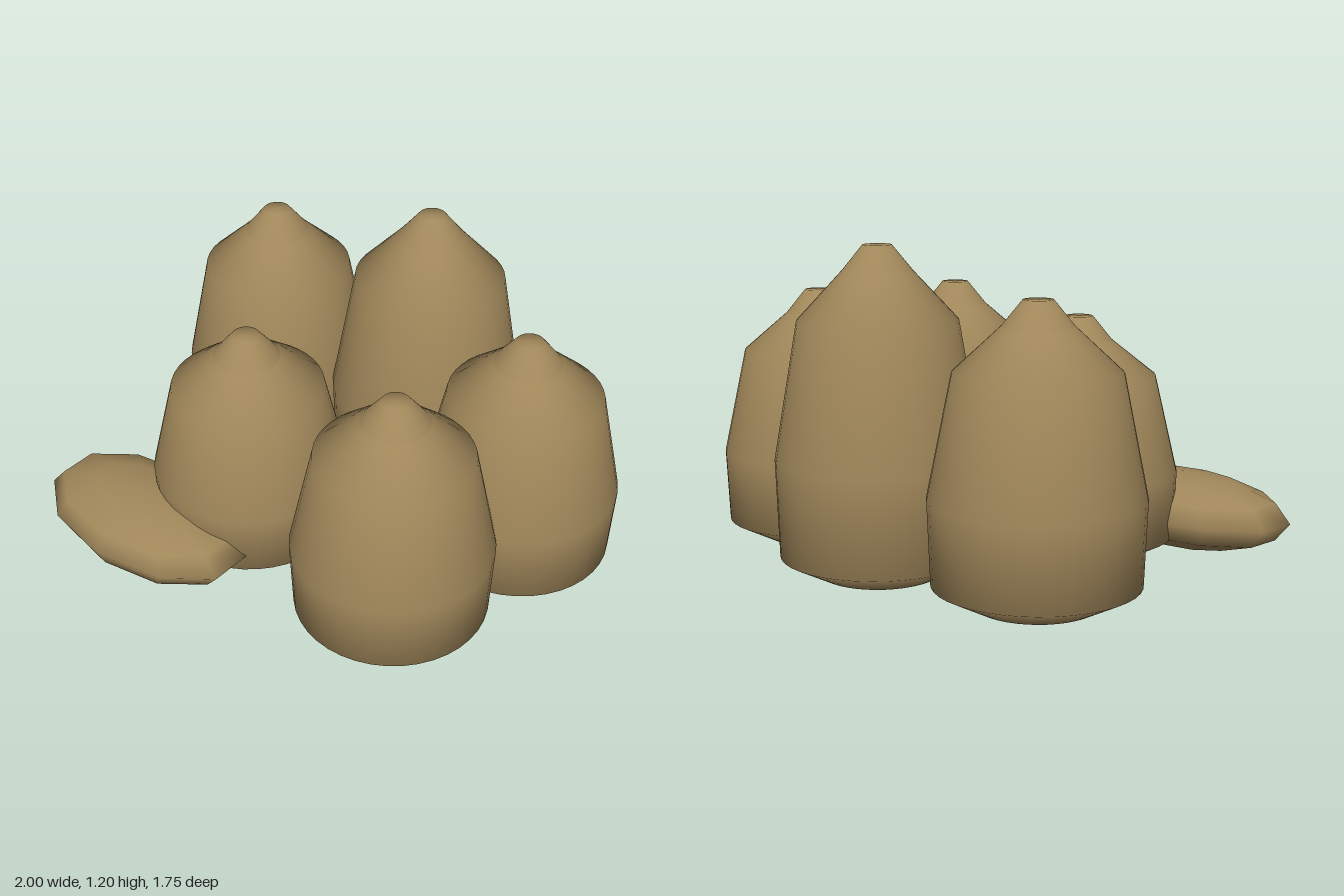
import * as THREE from 'three';

const burlap = new THREE.MeshStandardMaterial({ color: 0xa0875a });
burlap.name = 'burlap';

const lathe = (points) =>
  new THREE.LatheGeometry(points.map(([r, y]) => new THREE.Vector2(r, y)), 40);

// Upright filled sack: a bulging body with a tied neck on top
function makeSack(name, x, z, height) {
  const neckY = height - 0.09;
  const sack = new THREE.Group();
  sack.name = name;

  const body = new THREE.Mesh(lathe([
    [0, 0], [0.22, 0], [0.365, 0.075], [0.377, neckY * 0.39],
    [0.29, neckY * 0.84], [0.125, neckY],
  ]), burlap);
  body.name = 'sackBody';

  const neck = new THREE.Mesh(lathe([[0.125, neckY], [0.052, height], [0, height]]), burlap);
  neck.name = 'sackNeck';

  sack.add(body, neck);
  sack.position.set(x, 0, z);
  return sack;
}

export function createModel() {
  const model = new THREE.Group();
  model.name = 'sackPile';

  // Standing sacks: name, x, z, height
  [
    ['backRightSack', -0.622, -0.353, 1.05],
    ['backMiddleSack', 0.035, -0.5, 1.2],
    ['backLeftSack', 0.622, -0.317, 0.98],
    ['frontRightSack', -0.26, 0.23, 0.91],
    ['frontLeftSack', 0.472, 0.268, 0.98],
  ].forEach((s) => model.add(makeSack(...s)));

  // Flattened sack lying on the ground in front
  const lying = new THREE.SphereGeometry(1, 10, 6);
  lying.rotateY(Math.PI / 2);
  lying.scale(0.47, 0.143, 0.27);
  const lyingSack = new THREE.Mesh(lying, burlap);
  lyingSack.name = 'lyingSack';
  lyingSack.position.set(-0.477, 0.147, 0.6);
  model.add(lyingSack);

  return model;
}
